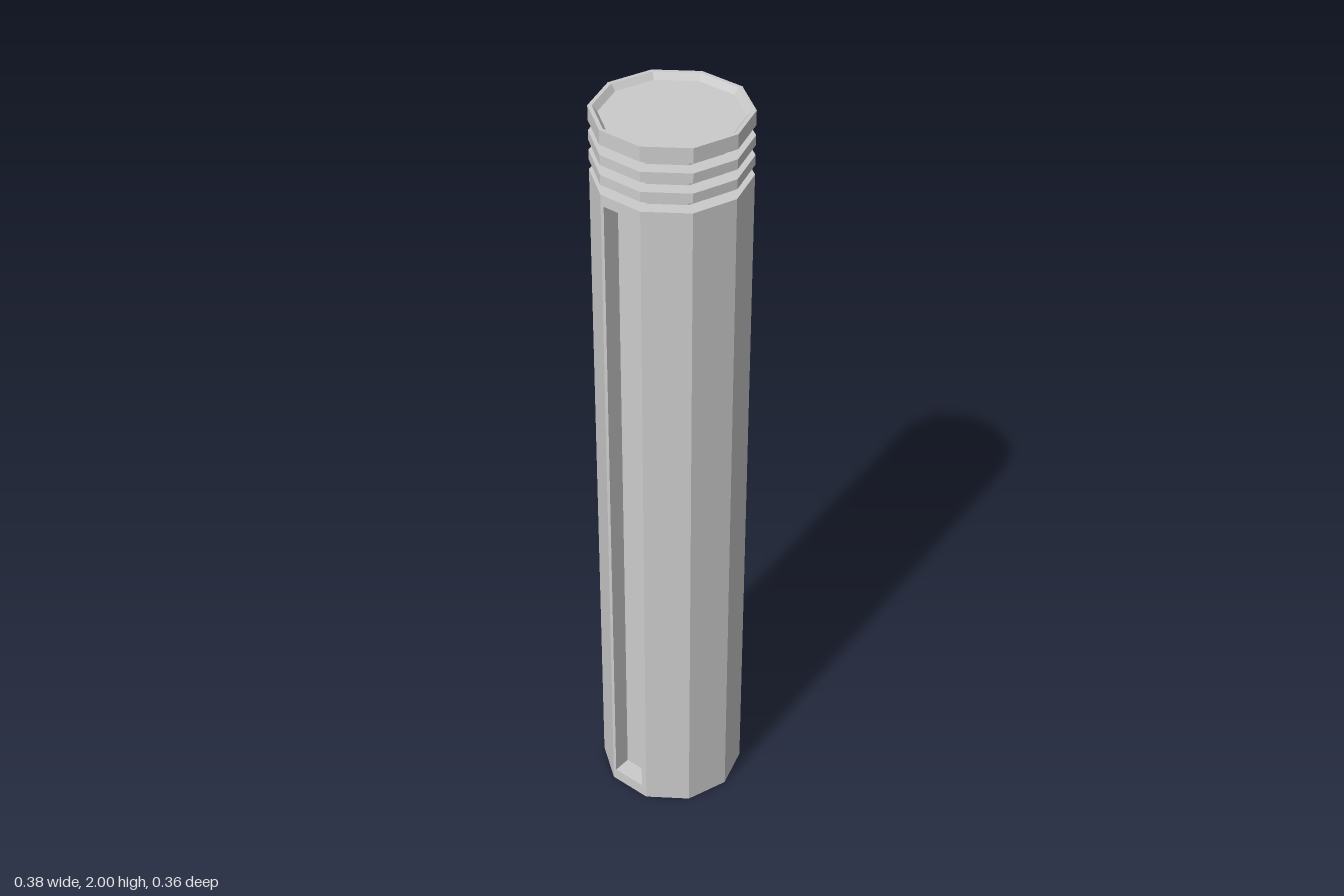
import * as THREE from 'three';

const SIDES = 10;
const R = 0.188;                                  // corner radius of the shaft
const APOTHEM = R * Math.cos(Math.PI / SIDES);
const HALF = R * Math.sin(Math.PI / SIDES);       // half the width of one facet
const SHAFT_TOP = 1.838;
const SLOT = { x0: -0.049, x1: 0.043, y0: 0.034, y1: 1.81, depth: 0.048 };

function makeMaterial(side = THREE.FrontSide) {
  return new THREE.MeshStandardMaterial({ color: 0xcccccc, flatShading: true, side });
}

function named(name, geometry, material) {
  const mesh = new THREE.Mesh(geometry, material);
  mesh.name = name;
  return mesh;
}

// One flat side of the shaft, optionally with a slot opening
function facetGeometry(slotted) {
  const shape = new THREE.Shape();
  shape.moveTo(-HALF, 0).lineTo(HALF, 0).lineTo(HALF, SHAFT_TOP).lineTo(-HALF, SHAFT_TOP);
  if (slotted) {
    const { x0, x1, y0, y1 } = SLOT;
    const hole = new THREE.Path();
    hole.moveTo(x0, y0).lineTo(x0, y1).lineTo(x1, y1).lineTo(x1, y0);
    shape.holes.push(hole);
  }
  return new THREE.ShapeGeometry(shape).translate(0, 0, APOTHEM);
}

// Inside of a slot: a box without its front, seen from within
function slotGeometry() {
  const { x0, x1, y0, y1, depth } = SLOT;
  const box = new THREE.BoxGeometry(x1 - x0, y1 - y0, depth);
  const index = Array.from(box.index.array);
  index.splice(24, 6);
  box.setIndex(index);
  box.clearGroups();
  return box.translate((x0 + x1) / 2, (y0 + y1) / 2, APOTHEM - depth / 2);
}

export function createModel() {
  const model = new THREE.Group();
  model.name = 'groovedPillar';
  const material = makeMaterial();
  const inside = makeMaterial(THREE.BackSide);

  // Ten-sided shaft with slots in two opposite facets
  const shaft = new THREE.Group();
  shaft.name = 'shaft';
  for (let i = 0; i < SIDES; i++) {
    const slotted = i === 3 || i === 8;
    const facet = new THREE.Group();
    facet.name = slotted ? 'slottedFacet' : 'facet';
    facet.rotation.y = Math.PI / 2 - (i + 0.5) * 2 * Math.PI / SIDES;
    facet.add(named('facetFace', facetGeometry(slotted), material));
    if (slotted) facet.add(named('slot', slotGeometry(), inside));
    shaft.add(facet);
  }
  model.add(shaft);

  // Underside
  const base = new THREE.CircleGeometry(R, SIDES).rotateX(Math.PI / 2);
  model.add(named('base', base, material));

  // Head: three grooves between rings, then a rim around a sunken top
  const core = 0.151, step = 0.05, gap = 0.025;
  const profile = [[R, SHAFT_TOP]];
  for (let i = 0; i < 3; i++) {
    const y = SHAFT_TOP + i * step;
    profile.push([R, y], [core, y], [core, y + gap], [R, y + gap]);
  }
  profile.splice(0, 1);
  profile.push([R, 2], [0.178, 2], [0.166, 1.985], [0, 1.985]);
  const points = profile.map(([r, y]) => new THREE.Vector2(r, y));
  model.add(named('groovedHead', new THREE.LatheGeometry(points, SIDES, Math.PI / 2), material));

  return model;
}
